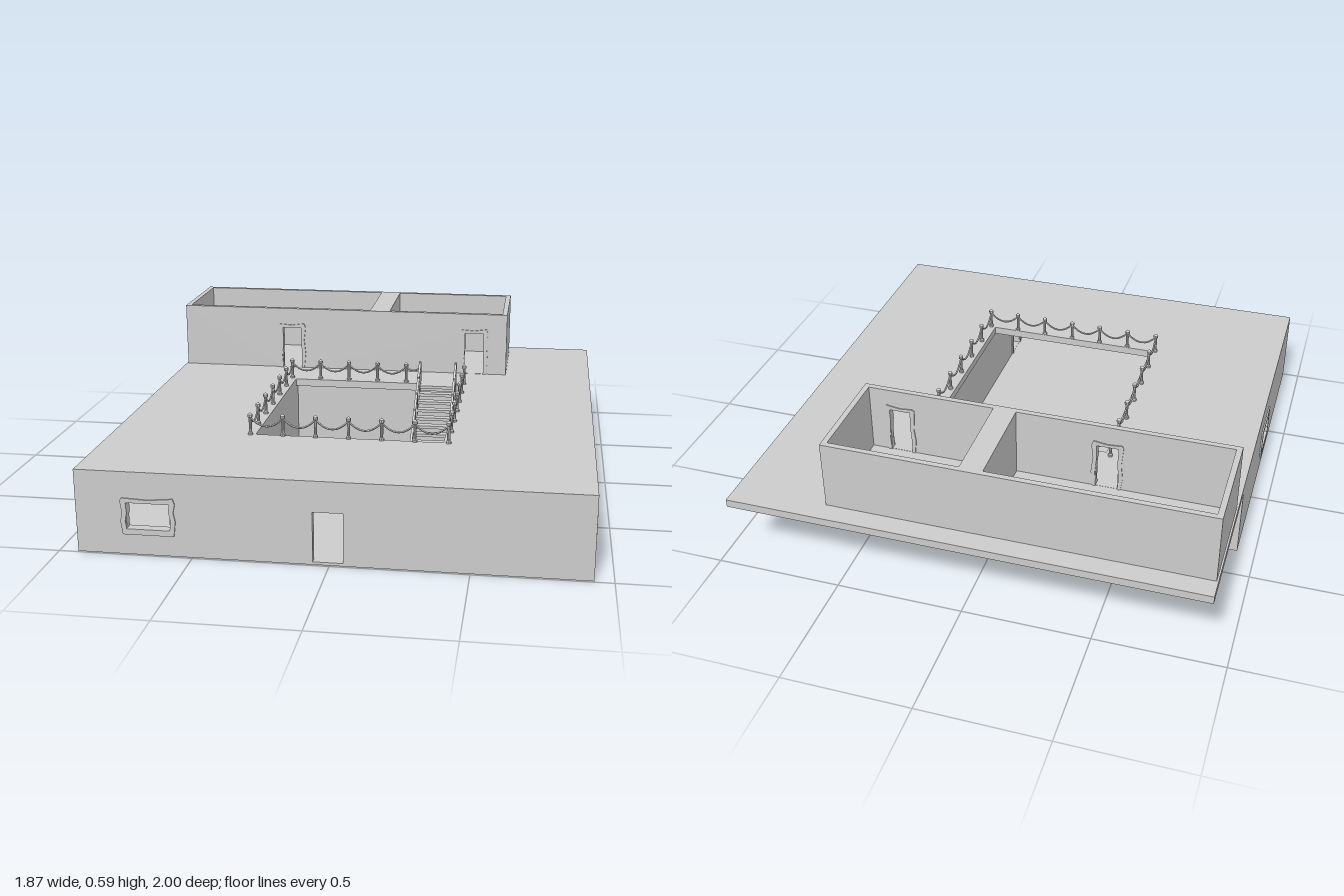
import * as THREE from 'three';

const grey = new THREE.MeshStandardMaterial({ color: 0xcccccc, flatShading: true, side: THREE.DoubleSide });

const T = 0.03;          // wall thickness
const GROUND = 0.01;     // lower floor level
const DECK = 0.317;      // terrace level
const CEIL = 0.285;      // underside of the terrace slab

function add(parent, name, geometry, x = 0, y = 0, z = 0) {
  const mesh = new THREE.Mesh(geometry, grey);
  mesh.name = name;
  mesh.position.set(x, y, z);
  parent.add(mesh);
  return mesh;
}

// box given by its limits
function block(parent, name, x0, x1, y0, y1, z0, z1) {
  return add(parent, name, new THREE.BoxGeometry(x1 - x0, y1 - y0, z1 - z0),
    (x0 + x1) / 2, (y0 + y1) / 2, (z0 + z1) / 2);
}

function rect(Type, [u0, u1, v0, v1]) {
  const pts = [[u0, v0], [u1, v0], [u1, v1], [u0, v1]].map(p => new THREE.Vector2(...p));
  return new Type(pts);
}

function extrude(shape, depth) {
  return new THREE.ExtrudeGeometry(shape, { depth, bevelEnabled: false });
}

// upright panel with openings; axis 'x' runs along x, axis 'z' runs along z
function panel(parent, name, axis, at, shape, depth) {
  const mesh = add(parent, name, extrude(shape, depth));
  if (axis === 'x') mesh.position.z = at;
  else { mesh.rotation.y = -Math.PI / 2; mesh.position.x = at + depth; }
  return mesh;
}

function wall(parent, name, axis, at, limits, openings = [], depth = T) {
  const shape = rect(THREE.Shape, limits);
  openings.forEach(o => shape.holes.push(rect(THREE.Path, o)));
  return panel(parent, name, axis, at, shape, depth);
}

// crooked timber surround; doors stay open at the bottom
function surround(parent, name, axis, at, [u0, u1, v0, v1], door, depth, w = 0.022) {
  const k = 0.007;
  const h = v1 - v0;
  const vb = door ? v0 : v0 - w;
  const outer = [
    [u0 - w + k, vb], [u0 - w, v0 + h * 0.3], [u0 - w + k, v0 + h * 0.6], [u0 - w, v1 + w * 0.4],
    [u0 - w + k, v1 + w * 0.8], [(u0 + u1) / 2, v1 + w * 0.6], [u1 + w - k, v1 + w],
    [u1 + w, v1], [u1 + w - k, v0 + h * 0.7], [u1 + w, v0 + h * 0.35], [u1 + w - k, vb],
  ];
  const inner = [
    [u1, v0], [u1 + k * 0.6, v0 + h * 0.35], [u1 - k * 0.3, v0 + h * 0.7], [u1, v1],
    [u0, v1], [u0 + k * 0.3, v0 + h * 0.6], [u0 - k * 0.6, v0 + h * 0.3], [u0, v0],
  ];
  const vec = list => list.map(p => new THREE.Vector2(...p));
  const shape = new THREE.Shape(vec(door ? outer.concat(inner) : outer));
  if (!door) shape.holes.push(new THREE.Path(vec(inner)));
  panel(parent, name, axis, at, shape, depth);
}

function lowerFloor() {
  const g = new THREE.Group();
  g.name = 'lowerFloor';
  const X = 0.93, Z0 = -0.36, Z1 = 0.993;
  block(g, 'groundFloor', -X, X, 0, GROUND, Z0, Z1);

  // outer walls
  const frontWindow = [-0.74, -0.58, 0.1, 0.2];
  const leftWindow = [0.7, 0.86, 0.1, 0.2];
  const rightWindow = [0.19, 0.35, 0.1, 0.2];
  wall(g, 'frontWall', 'x', Z1 - T, [-X, X, GROUND, CEIL], [frontWindow, [-0.06, 0.05, GROUND + 0.001, 0.2]]);
  wall(g, 'backWall', 'x', Z0, [-X, X, GROUND, CEIL]);
  wall(g, 'leftWall', 'z', X - T, [Z0 + T, Z1 - T, GROUND, CEIL], [leftWindow]);
  wall(g, 'rightWall', 'z', -X, [Z0 + T, Z1 - T, GROUND, CEIL], [rightWindow]);
  surround(g, 'frontWindowFrame', 'x', Z1 - T - 0.004, frontWindow, false, T + 0.009);
  surround(g, 'leftWindowFrame', 'z', X - T - 0.004, leftWindow, false, T + 0.01);
  surround(g, 'rightWindowFrame', 'z', -X - 0.006, rightWindow, false, T + 0.01);

  // partitions on both sides of the hall
  for (const [name, x] of [['leftPartition', 0.37], ['rightPartition', -0.4]]) {
    const door = [0.8, 0.9, GROUND + 0.001, 0.2];
    wall(g, name, 'z', x, [Z0 + T, Z1 - T, GROUND, CEIL], [door]);
    surround(g, name + 'DoorFrame', 'z', x - 0.005, door, true, T + 0.01);
  }
  return g;
}

// terrace slab with the opening over the hall
function terrace() {
  const shape = rect(THREE.Shape, [-0.93, 0.93, -0.993, 1]);
  shape.holes.push(rect(THREE.Path, [-0.37, 0.36, -0.51, 0.29]));
  const geometry = extrude(shape, DECK - CEIL).rotateX(-Math.PI / 2);
  const mesh = new THREE.Mesh(geometry, grey);
  mesh.name = 'terraceSlab';
  mesh.position.y = CEIL;
  return mesh;
}

// two roofless rooms at the back
function upperRooms() {
  const g = new THREE.Group();
  g.name = 'upperRooms';
  const [x0, x1, z0, z1, top, t] = [-0.923, 0.556, -0.918, -0.488, 0.593, 0.022];
  const doors = [[-0.467, -0.382, DECK, 0.505], [0.368, 0.453, DECK, 0.505]];
  const holes = doors.map(([a, b, c, d]) => [a, b, c + 0.001, d]);
  wall(g, 'frontWall', 'x', z1 - t, [x0, x1, DECK, top], holes, t);
  wall(g, 'backWall', 'x', z0, [x0, x1, DECK, top], [], t);
  block(g, 'rightWall', x0, x0 + t, DECK, top, z0 + t, z1 - t);
  block(g, 'leftWall', x1 - t, x1, DECK, top, z0 + t, z1 - t);
  block(g, 'dividingWall', -0.065, 0.025, DECK, top, z0 + t, z1 - t);
  doors.forEach(d => surround(g, 'doorFrame', 'x', z1 - t - 0.004, d, true, t + 0.01, 0.02));
  return g;
}

// rope fence around the opening
function ropeFence() {
  const g = new THREE.Group();
  g.name = 'ropeFence';
  const profile = [[0, 0], [0.01, 0], [0.01, 0.008], [0.006, 0.012], [0.006, 0.068],
    [0.01, 0.072], [0.01, 0.082], [0, 0.09]].map(p => new THREE.Vector2(...p));
  const postGeometry = new THREE.LatheGeometry(profile, 8);
  const [xa, xb, za, zb, n] = [-0.39, 0.38, -0.31, 0.515, 6];
  const path = [];
  const lerp = THREE.MathUtils.lerp;
  for (let i = 4; i > 0; i--) path.push([lerp(xa, xb, i / n), za]);
  for (let i = 0; i < n; i++) path.push([xa, lerp(za, zb, i / n)]);
  for (let i = 0; i < n; i++) path.push([lerp(xa, xb, i / n), zb]);
  for (let i = 0; i <= n; i++) path.push([xb, lerp(zb, za, i / n)]);
  path.forEach(([x, z]) => add(g, 'fencePost', postGeometry, x, DECK, z));

  const rope = ([ax, az], [bx, bz], sag) => {
    const a = new THREE.Vector3(ax, DECK + 0.071, az);
    const b = new THREE.Vector3(bx, DECK + 0.071, bz);
    const mid = a.clone().lerp(b, 0.5);
    mid.y -= sag * 2;
    add(g, 'rope', new THREE.TubeGeometry(new THREE.QuadraticBezierCurve3(a, mid, b), 8, 0.004, 5));
  };
  for (let i = 1; i < path.length; i++) rope(path[i - 1], path[i], 0.036);
  rope(path[0], [0.185, -0.29], 0.015);
  return g;
}

// straight stair from the terrace down to the hall
function stair() {
  const g = new THREE.Group();
  g.name = 'stair';
  const [x0, x1, z0, z1, steps] = [0.19, 0.34, -0.292, 0.13, 12];
  const run = (z1 - z0) / steps, rise = (DECK - GROUND) / steps;
  for (let i = 0; i < steps; i++) {
    const y = DECK - i * rise;
    block(g, 'tread', x0, x1, y - 0.012, y, z0 + i * run, z0 + (i + 1) * run);
  }
  const length = Math.hypot(z1 - z0, DECK - GROUND);
  const tilt = Math.atan2(DECK - GROUND, z1 - z0);
  const midY = (DECK + GROUND) / 2, midZ = (z0 + z1) / 2;
  for (const x of [x0 - 0.003, x1 + 0.003]) {
    const stringer = add(g, 'stringer', new THREE.BoxGeometry(0.008, 0.025, length), x, midY, midZ);
    const rail = add(g, 'handrail', new THREE.BoxGeometry(0.01, 0.01, length), x, midY + 0.092, midZ);
    stringer.rotation.x = rail.rotation.x = tilt;
    for (let i = 0; i <= 6; i++) {
      const y = DECK + (GROUND - DECK) * i / 6, z = z0 + (z1 - z0) * i / 6;
      block(g, 'railPost', x - 0.005, x + 0.005, y, y + 0.1, z - 0.005, z + 0.005);
    }
  }
  return g;
}

export function createModel() {
  const model = new THREE.Group();
  model.name = 'courtyardHouse';
  model.add(lowerFloor(), terrace(), upperRooms(), ropeFence(), stair());
  return model;
}
